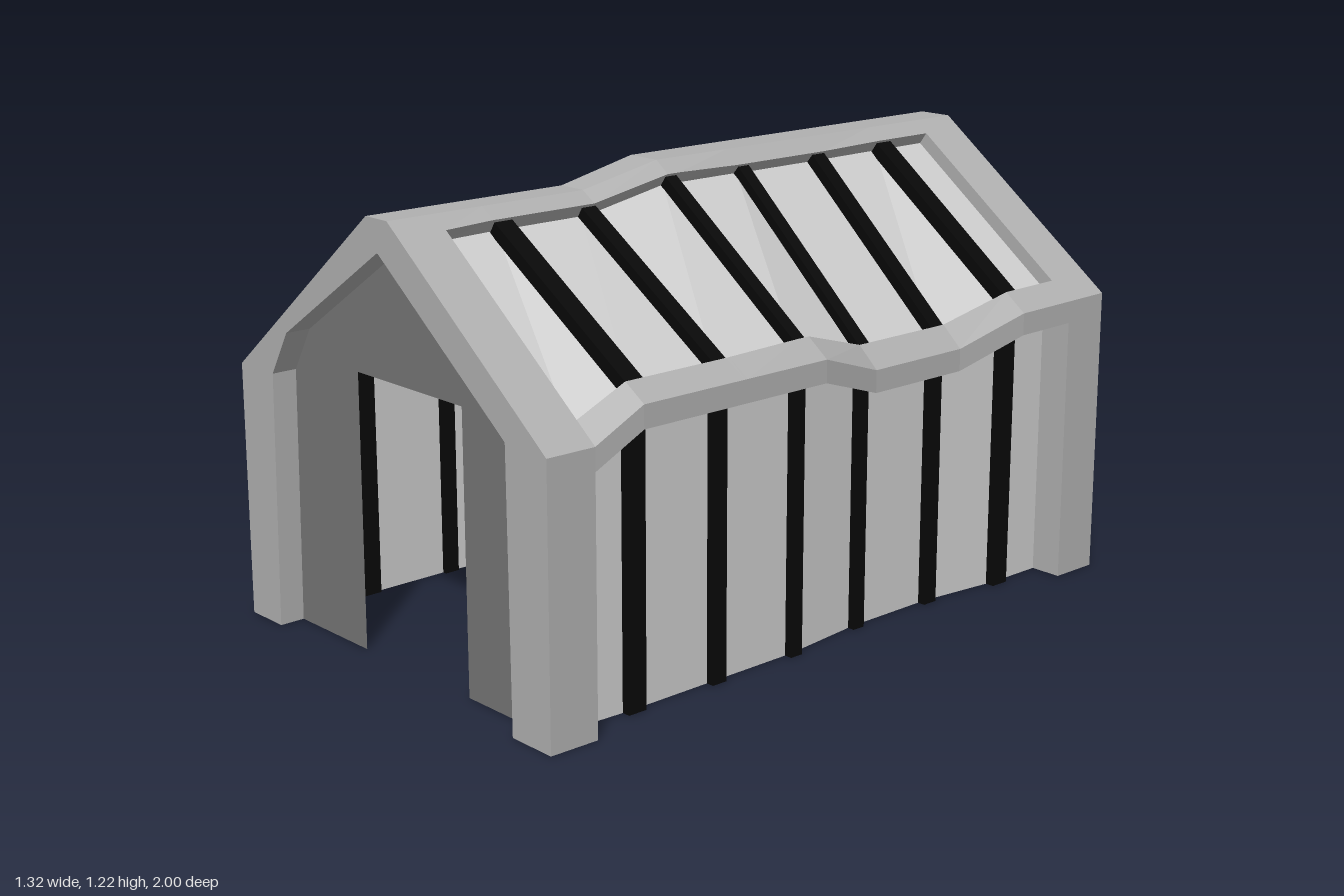
import * as THREE from 'three';

const END = 0.98, RIM = 0.84, WALL_DEPTH = 0.09, ROOF_DEPTH = 0.038;
const mat = (color) => new THREE.MeshStandardMaterial({ color, flatShading: true, side: THREE.DoubleSide });

// piecewise-linear tables [z, x, y] for the crooked eaves and the ridge
const eaves = {
  '-1': [[-0.98, 0.632, 0.79], [0.12, 0.615, 0.79], [0.37, 0.635, 0.69], [0.98, 0.632, 0.69]],
  '1': [[-0.98, 0.63, 0.79], [-0.65, 0.63, 0.785], [-0.43, 0.602, 0.72], [-0.11, 0.605, 0.72],
    [0.10, 0.635, 0.79], [0.70, 0.64, 0.79], [0.84, 0.632, 0.715], [0.98, 0.63, 0.715]],
};
const ridge = [[-0.98, 0.05, 1.215], [0.14, 0.05, 1.215], [0.38, 0.043, 1.165], [0.98, 0.043, 1.165]];
const battens = [[-0.67, 0.055], [-0.415, 0.045], [-0.135, 0.038], [0.125, 0.038], [0.395, 0.045], [0.665, 0.055]];
const stations = [...new Set([-END, -RIM, RIM, END, ...[...eaves[1], ...eaves[-1], ...ridge].map((p) => p[0])])]
  .sort((a, b) => a - b);
const between = (a, b) => stations.filter((z) => z >= a && z <= b);

function sample(table, z) {
  let i = 0;
  while (i < table.length - 2 && z > table[i + 1][0]) i++;
  const [a, b] = [table[i], table[i + 1]], t = (z - a[0]) / (b[0] - a[0]);
  return [a[1] + (b[1] - a[1]) * t, a[2] + (b[2] - a[2]) * t];
}

// named points of one half cross-section: outer skin and recessed inner skin
function section(s, z) {
  const [ex, ey] = sample(eaves[s], z), [rx, ry] = sample(ridge, z);
  const run = ex - rx, rise = ry - ey, len = Math.hypot(run, rise);
  const onRoof = (t, d = 0) => [s * (ex - run * t - d * rise / len), ey + rise * t - d * run / len, z];
  const drop = ROOF_DEPTH * len / run, xIn = s * (ex - WALL_DEPTH);
  return {
    base: [s * ex, 0, z], wallRim: [s * ex, ey - 0.06, z], eave: [s * ex, ey, z],
    roofRim: onRoof(0.11), roofRimIn: onRoof(0.11, ROOF_DEPTH),
    topRim: onRoof(0.925), topRimIn: onRoof(0.925, ROOF_DEPTH), ridge: onRoof(1),
    baseIn: [xIn, 0, z], wallRimIn: [xIn, ey - 0.06, z],
    eaveIn: [xIn, ey + WALL_DEPTH * rise / run - drop, z],
    ridgeIn: [s * rx, ry - drop, z],
  };
}

// quads between successive rows of points
function loft(rows, flip) {
  const pos = rows.flat(2), idx = [], n = rows[0].length;
  for (let r = 0; r < rows.length - 1; r++) {
    for (let c = 0; c < n - 1; c++) {
      const a = r * n + c, b = a + 1, d = a + n, e = d + 1;
      idx.push(...(flip ? [a, d, b, b, d, e] : [a, b, d, b, e, d]));
    }
  }
  const g = new THREE.BufferGeometry();
  g.setAttribute('position', new THREE.Float32BufferAttribute(pos, 3));
  g.setIndex(idx);
  const flat = g.toNonIndexed();
  flat.computeVertexNormals();
  return flat;
}

export function createModel() {
  const root = new THREE.Group();
  root.name = 'shed';
  const frameMat = mat(0xb0b0b0), panelMat = mat(0xcccccc), endMat = mat(0x767676), beamMat = mat(0x080808);
  const add = (name, geometry, material) => {
    const m = new THREE.Mesh(geometry, material);
    m.name = name;
    root.add(m);
    return m;
  };
  const run = (s, zs, keys) => loft(zs.map((z) => { const p = section(s, z); return keys.map((k) => p[k]); }), s > 0);
  const mid = between(-RIM, RIM), panelStops = [-RIM, ...battens.map((b) => b[0]), RIM];

  for (const s of [-1, 1]) {
    const side = s > 0 ? 'left' : 'right';
    // rails along the eave and beside the ridge, with their recess edges
    add(side + 'EaveRail', run(s, mid, ['eaveIn', 'wallRimIn', 'wallRim', 'eave', 'roofRim', 'roofRimIn']), frameMat);
    add(side + 'RidgeRail', run(s, mid, ['topRimIn', 'topRim', 'ridge']), frameMat);
    // recessed wall and roof panels, jointed under the battens
    add(side + 'Wall', run(s, panelStops, ['baseIn', 'wallRimIn']), panelMat);
    add(side + 'Roof', run(s, panelStops, ['eaveIn', 'ridgeIn']), panelMat);
    // end bands and the step down to the recessed panels
    for (const e of [-1, 1]) {
      const zs = e > 0 ? between(RIM, END) : between(-END, -RIM);
      add(side + 'EndBand', run(s, zs, ['base', 'eave', 'ridge']), frameMat);
      const p = section(s, e * RIM);
      add(side + 'EndBandStep', loft([[p.base, p.eave, p.ridge], [p.baseIn, p.eaveIn, p.ridgeIn]], s * e > 0), frameMat);
    }
    // dark battens on wall and roof, set slightly proud of the panels
    for (const [z, w] of battens) {
      const p = section(s, z);
      for (const [name, a, b, lift] of [['WallBatten', p.baseIn, p.eaveIn, 0.005], ['RoofBatten', p.eaveIn, p.ridgeIn, 0.012]]) {
        const dx = b[0] - a[0], dy = b[1] - a[1], len = Math.hypot(dx, dy), k = s * lift / len;
        const m = add(side + name, new THREE.BoxGeometry(len, 0.035, w), beamMat);
        m.position.set((a[0] + b[0]) / 2 + k * dy, (a[1] + b[1]) / 2 - k * dx, z);
        m.rotation.z = Math.atan2(dy, dx);
      }
    }
  }

  // flat ridge cap
  add('ridgeCap', loft(stations.map((z) => [section(-1, z).ridge, section(1, z).ridge]), false), frameMat);

  for (const e of [-1, 1]) {
    const end = e > 0 ? 'front' : 'back', z = e * END, zIn = e * 0.91;
    const l = section(1, z), r = section(-1, z), top = l.ridge[1] - 0.085;
    // gable frame: face and inward return, with one sagging corner at the front
    const outer = [r.base, r.eave, r.roofRim, r.ridge, l.ridge, l.eave, l.base];
    const corner = e > 0 ? [[-0.485, 0.69], [-0.413, 0.81]] : [[-0.483, top - 0.36], [-0.45, top - 0.335]];
    const inner = [[-0.5, 0], ...corner, [-0.003, top], [0.003, top], [0.48, top - 0.36], [0.488, 0]];
    const at = (d) => inner.map(([x, y]) => [x, y, d]);
    add(end + 'GableFrame', loft([outer, at(z), at(zIn)], e > 0), frameMat);

    // recessed end wall with doorway
    const a = section(-1, zIn), b = section(1, zIn);
    const outline = [a.baseIn, a.eaveIn, a.ridgeIn, b.ridgeIn, b.eaveIn, b.baseIn,
      [0.228, 0], [0.226, 0.738], [-0.202, 0.738], [-0.206, 0]].map(([x, y]) => new THREE.Vector2(x, y));
    add(end + 'EndWall', new THREE.ShapeGeometry(new THREE.Shape(outline)), endMat).position.z = zIn;
  }

  // the whole building stands slightly askew
  root.rotation.y = -0.03;
  const model = new THREE.Group();
  model.name = 'crookedShed';
  model.add(root);
  return model;
}
